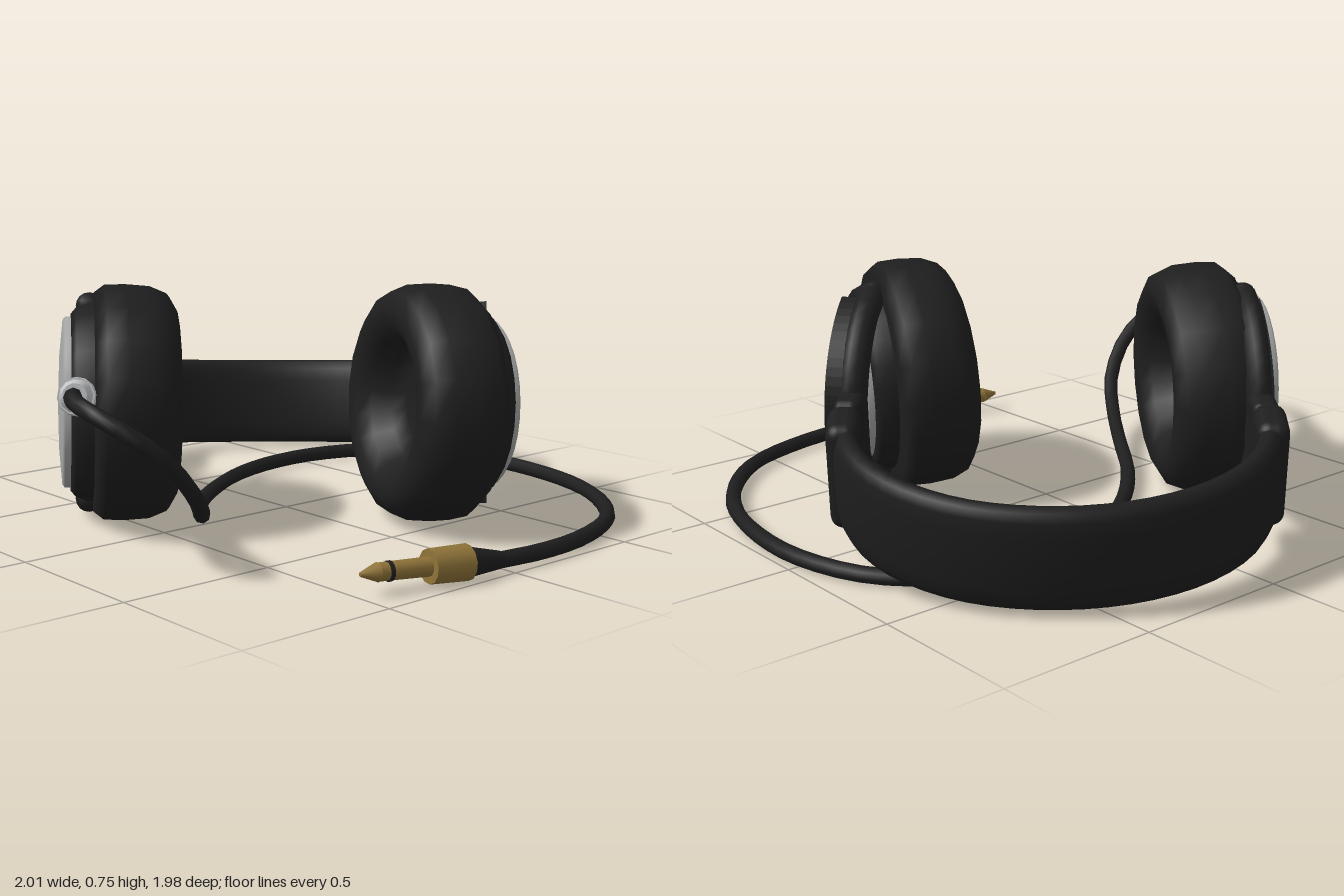
import * as THREE from 'three';
import { RoundedBoxGeometry } from 'three/addons/geometries/RoundedBoxGeometry.js';

const mat = (name, color) => Object.assign(new THREE.MeshStandardMaterial({ color }), { name });
const V = (x, y, z) => new THREE.Vector3(x, y, z);

// The headphones lie on a plane that rises gently from headband to cups
const SLOPE = 0.18, DX = 0.757, DZ = 0.653;
const NORMAL = V(-SLOPE * DX, 1, -SLOPE * DZ).normalize();
const planeY = (x, z) => 0.385 + SLOPE * ((x - 0.12) * DX + (z - 0.1) * DZ);

export function createModel() {
  const black = mat('black', 0x1e1e1e);
  const silver = mat('silver', 0xa4a7a6);
  const brightSilver = mat('bright silver', 0xc4c6c8);
  const gold = mat('gold', 0x8f7339);
  const model = new THREE.Group();
  model.name = 'headphones';

  const add = (parent, name, geometry, material, x = 0, y = 0, z = 0) => {
    const mesh = new THREE.Mesh(geometry, material);
    mesh.name = name;
    mesh.position.set(x, y, z);
    parent.add(mesh);
    return mesh;
  };

  // Group whose x axis follows a plan direction and whose y axis leaves the plane
  const frame = (name, x, z, fx, fz) => {
    const group = new THREE.Group();
    group.name = name;
    const X = V(fx, SLOPE * (fx * DX + fz * DZ), fz).normalize();
    const Z = X.clone().cross(NORMAL).normalize();
    const Y = Z.clone().cross(X);
    group.quaternion.setFromRotationMatrix(new THREE.Matrix4().makeBasis(X, Y, Z));
    group.position.set(x, planeY(x, z), z);
    model.add(group);
    return group;
  };

  // Turned part around the z axis
  const turned = (profile, segments) => new THREE.LatheGeometry(
    profile.map(([r, h]) => new THREE.Vector2(r, h)), segments).rotateX(Math.PI / 2);

  // Straight tapered part between two points
  const rod = (name, material, a, b, ra, rb, sides = 12) => {
    const dir = b.clone().sub(a);
    const mesh = add(model, name, new THREE.CylinderGeometry(rb, ra, dir.length(), sides), material);
    mesh.position.copy(a).lerp(b, 0.5);
    mesh.quaternion.setFromUnitVectors(V(0, 1, 0), dir.normalize());
    return mesh;
  };

  // Ear cups: hollow cushion, tapered shell, raised plate
  const cup = (name, x, z, fx, fz) => {
    const g = frame(name, x, z, fx, fz);
    add(g, 'cushion', turned([[0, 0.02], [0.15, 0.01], [0.19, -0.03], [0.22, -0.09], [0.265, -0.125],
      [0.32, -0.132], [0.37, -0.105], [0.394, -0.05], [0.4, 0.03], [0.397, 0.095], [0.37, 0.128], [0, 0.14]], 18),
    black).scale.set(1.02, 0.945, 1);
    add(g, 'shell', turned([[0.32, 0.1], [0.315, 0.15], [0.3, 0.185], [0.282, 0.2], [0, 0.2]], 24), black)
      .scale.set(0.95, 1, 1);
    add(g, 'plate', turned([[0.272, 0.19], [0.272, 0.218], [0.262, 0.226], [0.15, 0.236], [0, 0.24]], 32), silver)
      .scale.set(0.94, 1, 1);
  };
  cup('rightCup', -0.231, 0.446, 0.85, 0.53);
  cup('leftCup', 0.405, -0.219, -0.918, -0.397);

  // Forks holding the cups, with an outer rim and sliders
  const rimShape = new THREE.Shape();
  rimShape.absellipse(0, 0, 0.37, 0.335, Math.PI * 0.56, Math.PI * 1.44, false);
  rimShape.absellipse(0, 0, 0.28, 0.275, Math.PI * 1.44, Math.PI * 0.56, true);
  const fork = (name, x, z, fx, fz, rimStart, rimDepth) => {
    const g = frame(name, x, z, fx, fz);
    const points = [];
    for (let i = 0; i <= 8; i++) {
      const a = Math.PI * (0.5 + i / 8);
      points.push(V(0.34 * Math.cos(a), 0.31 * Math.sin(a), 0));
    }
    add(g, 'arms', new THREE.TubeGeometry(new THREE.CatmullRomCurve3(points), 20, 0.045, 10), black);
    for (const s of [-1, 1]) add(g, 'armEnd', new THREE.SphereGeometry(0.045, 10, 8), black, 0, s * 0.31, 0);
    add(g, 'rim', new THREE.ExtrudeGeometry(rimShape, { depth: rimDepth, bevelEnabled: false, curveSegments: 16 }),
      black, 0, 0, rimStart);
    add(g, 'stem', new RoundedBoxGeometry(0.15, 0.26, 0.085, 2, 0.03), black, -0.36, 0, 0);
    add(g, 'slider', new THREE.BoxGeometry(0.16, 0.2, 0.035), brightSilver, -0.46, 0, 0);
  };
  fork('rightFork', -0.36, 0.53, 0.81, 0.58, 0, 0.04);
  fork('leftFork', 0.43, -0.37, 0.67, 0.74, -0.085, 0.085);

  // Headband end blocks
  for (const [name, x, z, fx, fz] of [
    ['rightBandEnd', -0.8, 0.19, 0.74, 0.67], ['leftBandEnd', 0.015, -0.778, 0.8, 0.6]]) {
    add(frame(name, x, z, fx, fz), 'bandEnd', new RoundedBoxGeometry(0.18, 0.345, 0.1, 3, 0.04), black);
  }

  // Headband: rounded section swept along a plan curve
  const bandCurve = new THREE.CatmullRomCurve3([[-0.8, 0.19], [-0.87, 0.1], [-0.935, -0.05], [-0.945, -0.24],
    [-0.89, -0.44], [-0.77, -0.63], [-0.6, -0.78], [-0.42, -0.855], [-0.25, -0.87], [-0.1, -0.835], [0.015, -0.778]]
    .map(([x, z]) => V(x, planeY(x, z), z)));
  const STEPS = 28, SIDES = 16, positions = [], index = [];
  const soft = (v) => Math.sign(v) * Math.abs(v) ** 0.7;
  for (let i = 0; i <= STEPS; i++) {
    const p = bandCurve.getPointAt(i / STEPS);
    const side = bandCurve.getTangentAt(i / STEPS).cross(NORMAL).normalize();
    for (let k = 0; k < SIDES; k++) {
      const a = (k / SIDES) * Math.PI * 2;
      const q = p.clone().addScaledVector(side, 0.043 * soft(Math.cos(a)))
        .addScaledVector(NORMAL, 0.16 * soft(Math.sin(a)));
      positions.push(q.x, q.y, q.z);
      if (i < STEPS) {
        const k2 = (k + 1) % SIDES, r = i * SIDES, n = r + SIDES;
        index.push(r + k, n + k, r + k2, r + k2, n + k, n + k2);
      }
    }
  }
  const band = new THREE.BufferGeometry();
  band.setAttribute('position', new THREE.Float32BufferAttribute(positions, 3));
  band.setIndex(index);
  band.computeVertexNormals();
  add(model, 'headband', band, black);

  // Cable socket on the right cup
  rod('socketRing', gold, V(-0.135, 0.44, 0.715), V(-0.105, 0.445, 0.738), 0.045, 0.045);
  rod('connectorBase', brightSilver, V(-0.11, 0.445, 0.735), V(-0.06, 0.457, 0.77), 0.042, 0.045);
  rod('connectorCollar', brightSilver, V(-0.06, 0.457, 0.77), V(0.005, 0.473, 0.815), 0.06, 0.056);
  rod('connectorNeck', brightSilver, V(0.005, 0.473, 0.815), V(0.075, 0.49, 0.865), 0.05, 0.036);

  // Cable, dropping from the cup and looping round on the ground
  const cable = new THREE.CatmullRomCurve3([[0.05, 0.485, 0.85], [0.17, 0.5, 0.935], [0.28, 0.49, 0.965],
    [0.39, 0.45, 0.935], [0.45, 0.37, 0.84], [0.45, 0.29, 0.76], [0.4, 0.2, 0.67], [0.29, 0.13, 0.575],
    [0.1, 0.08, 0.43], [-0.08, 0.045, 0.3], [-0.25, 0.03, 0.12], [-0.38, 0.03, -0.09], [-0.45, 0.03, -0.3],
    [-0.46, 0.03, -0.52], [-0.39, 0.03, -0.73], [-0.24, 0.03, -0.88], [0.01, 0.03, -0.96], [0.28, 0.03, -0.95],
    [0.52, 0.03, -0.88], [0.72, 0.03, -0.75], [0.86, 0.03, -0.59], [0.945, 0.03, -0.36], [0.97, 0.033, -0.15],
    [0.965, 0.04, 0.05]].map((p) => V(...p)));
  add(model, 'cable', new THREE.TubeGeometry(cable, 60, 0.025, 8), black);

  // Plug
  rod('strainRelief', black, V(0.966, 0.04, 0.03), V(0.955, 0.055, 0.16), 0.026, 0.045);
  rod('plugBody', gold, V(0.955, 0.055, 0.155), V(0.928, 0.06, 0.28), 0.053, 0.05);
  rod('plugPin', gold, V(0.928, 0.06, 0.28), V(0.892, 0.067, 0.44), 0.028, 0.026);
  rod('plugRing', black, V(0.902, 0.065, 0.4), V(0.899, 0.0655, 0.412), 0.029, 0.029);
  rod('plugTip', gold, V(0.892, 0.067, 0.44), V(0.881, 0.068, 0.495), 0.028, 0.006);

  return model;
}
